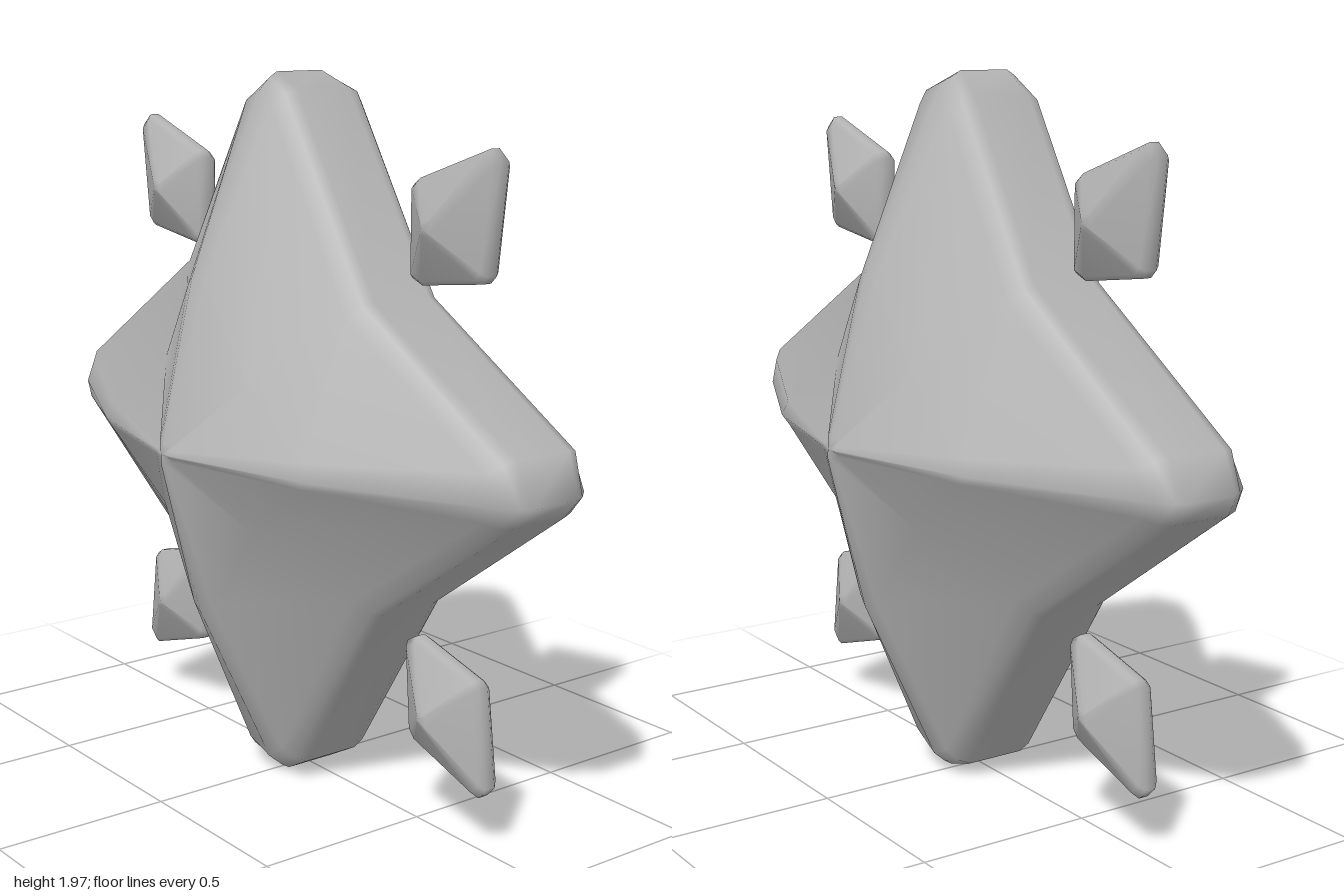
import * as THREE from 'three';

const stone = new THREE.MeshStandardMaterial({ color: 0xb2b2b2 });
stone.name = 'pale grey';

// Smooth solid, mirrored front to back: front apex, rings from centre to rim, then the same behind.
function loft(name, apex, rings) {
  const n = rings[0].length;
  const back = rings.map(r => r.map(([x, y, z]) => [x, y, -z])).reverse();
  const all = [...rings, ...back];
  const pts = [apex, ...all.flat(), [apex[0], apex[1], -apex[2]]];
  const last = pts.length - 1;
  const at = (r, i) => 1 + r * n + (i % n);
  const index = [];
  for (let i = 0; i < n; i++) {
    index.push(0, at(0, i), at(0, i + 1));
    for (let r = 0; r < all.length - 1; r++) {
      const a = at(r, i), b = at(r, i + 1), c = at(r + 1, i), d = at(r + 1, i + 1);
      index.push(a, c, d, a, d, b);
    }
    index.push(last, at(all.length - 1, i + 1), at(all.length - 1, i));
  }
  const geo = new THREE.BufferGeometry();
  geo.setAttribute('position', new THREE.Float32BufferAttribute(pts.flat(), 3));
  geo.setIndex(index);
  geo.computeVertexNormals();
  const mesh = new THREE.Mesh(geo, stone);
  mesh.name = name;
  return mesh;
}

// Four-armed star: each group of four points is a valley, then the two shoulders around a tip
function makeStar() {
  const outline = [
    [0.41, 0.42], [0.075, 0.945], [-0.03, 0.985], [-0.115, 0.92],
    [-0.40, 0.45], [-0.94, 0.10], [-1, 0], [-0.96, -0.06],
    [-0.44, -0.42], [-0.09, -0.945], [0.02, -0.985], [0.12, -0.93],
    [0.45, -0.41], [0.94, -0.06], [1, 0], [0.95, 0.11],
  ];
  // along: distance kept along the arm, across: width kept, valley: scale of the valley points
  const ring = (along, across, valley, zTip, zShoulder, zValley) => outline.map(([x, y], i) => {
    const k = i % 4;
    if (k === 0) return [x * valley, y * valley, zValley];
    const upright = Math.abs(y) > Math.abs(x);
    const z = k === 2 ? zTip : zShoulder;
    return upright ? [x * across, y * along, z] : [x * along, y * across, z];
  });
  const star = loft('star', [0, 0, 0.48], [
    ring(0.03, 0.1, 0.05, 0.477, 0.475, 0.46),
    ring(0.47, 0.4, 0.48, 0.365, 0.357, 0.335),
    ring(0.95, 0.72, 0.90, 0.14, 0.15, 0.15),
    ring(0.985, 0.94, 0.98, 0.10, 0.12, 0.12),
    ring(1, 1, 1, 0.075, 0.085, 0.09),
  ]);
  star.position.y = 0.99;
  return star;
}

// Kite-shaped gem with clipped corners, pinched to a point at front and back
function makeGem(name, outline, [cx, cy], side) {
  const pts = outline.map(([x, y]) => [side * (x - cx), y - cy]);
  if (side < 0) pts.reverse();
  const ring = (s, z) => pts.map(([x, y]) => [x * s, y * s, z]);
  const gem = loft(name, [0, 0, 0.1], [ring(0.12, 0.092), ring(0.92, 0.03), ring(1, 0.014)]);
  gem.position.set(side * cx, cy, 0);
  return gem;
}

export function createModel() {
  const group = new THREE.Group();
  group.name = 'sparkle';
  group.add(makeStar());

  const upper = [[0.79, 1.79], [0.755, 1.82], [0.495, 1.73], [0.47, 1.71],
    [0.47, 1.475], [0.51, 1.46], [0.735, 1.49], [0.755, 1.51]];
  const lower = [[0.79, 0.185], [0.755, 0.45], [0.735, 0.465], [0.505, 0.525],
    [0.47, 0.505], [0.488, 0.26], [0.51, 0.235], [0.76, 0.155]];
  for (const side of [1, -1]) {
    const label = side > 0 ? 'Left' : 'Right';
    group.add(makeGem('upper' + label + 'Gem', upper, [0.605, 1.62], side));
    group.add(makeGem('lower' + label + 'Gem', lower, [0.615, 0.345], side));
  }
  return group;
}
